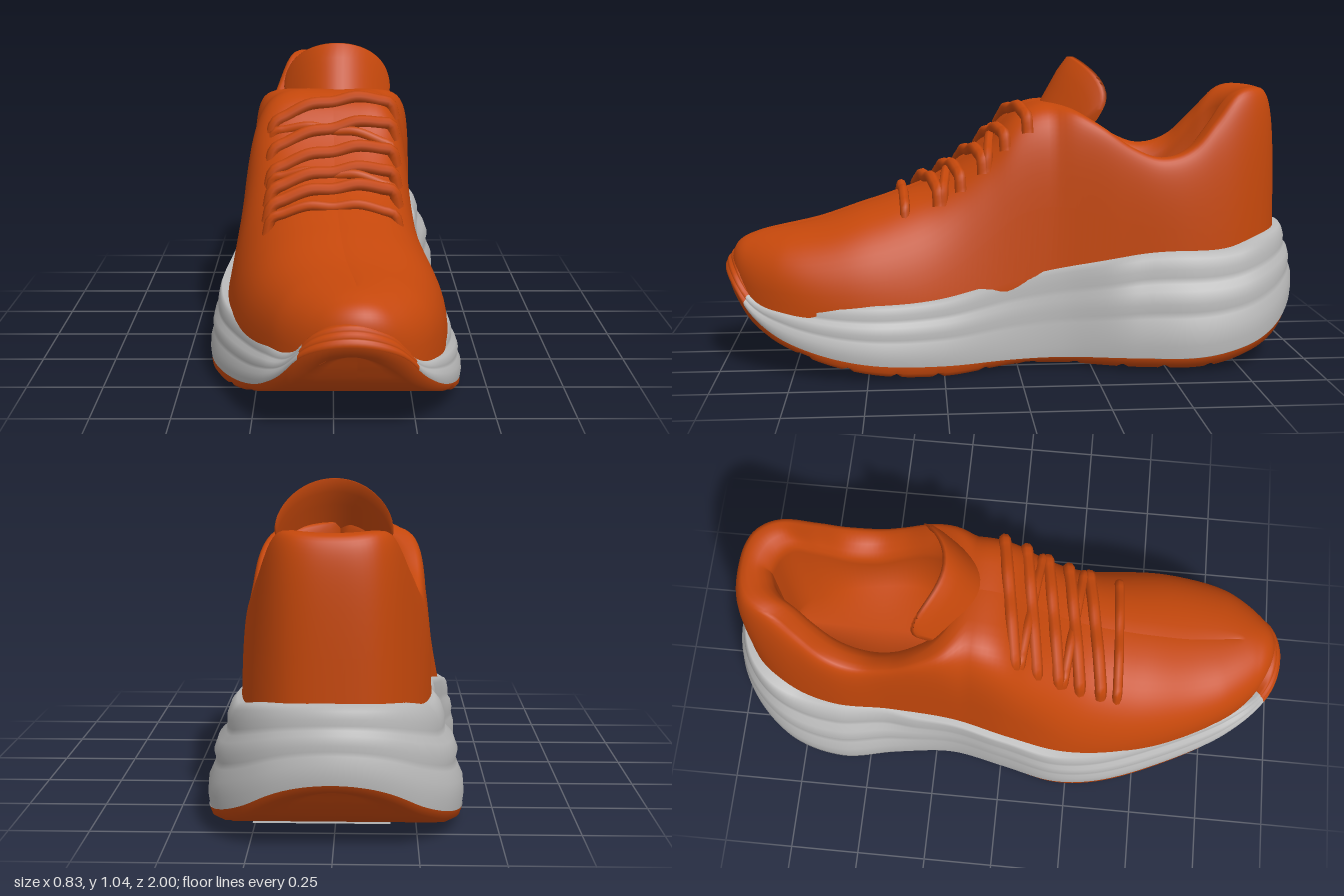
import * as THREE from 'three';

const V = (x, y, z) => new THREE.Vector3(x, y, z);
const N = 240; // points around each ring
const lerp = THREE.MathUtils.lerp;

// smooth lookup through [key, value] pairs
const curve = (...pts) => (k) => {
  if (k <= pts[0][0]) return pts[0][1];
  const slope = (p, q) => (q[1] - p[1]) / (q[0] - p[0]);
  for (let i = 1; i < pts.length; i++) {
    const [a, va] = pts[i - 1], [b, vb] = pts[i];
    if (k > b) continue;
    const m = slope(pts[i - 1], pts[i]), h = b - a, t = (k - a) / h;
    const m0 = i > 1 ? (m + slope(pts[i - 2], pts[i - 1])) / 2 : m;
    const m1 = i + 1 < pts.length ? (m + slope(pts[i], pts[i + 1])) / 2 : m;
    return va * (1 + 2 * t) * (1 - t) ** 2 + h * m0 * t * (1 - t) ** 2
      + vb * t * t * (3 - 2 * t) + h * m1 * t * t * (t - 1);
  }
  return pts[pts.length - 1][1];
};

// closed plan outline, running heel, +x side, toe, -x side
const outline = (pts) => new THREE.CatmullRomCurve3(pts.map(([x, z]) => V(x, 0, z)), true)
  .getSpacedPoints(N).slice(0, N);

// skin over closed rings; paint(i, j) picks a material index per face
function loft(rings, materials, name, paint = () => 0) {
  const n = rings[0].length, lists = materials.map(() => []);
  for (let i = 0; i < rings.length - 1; i++) for (let j = 0; j < n; j++) {
    const a = i * n + j, b = i * n + (j + 1) % n, c = a + n, d = b + n;
    lists[paint(i, j)].push(a, c, b, b, c, d);
  }
  const g = new THREE.BufferGeometry().setFromPoints(rings.flat());
  g.setIndex(lists.flat());
  let start = 0;
  lists.forEach((l, m) => { g.addGroup(start, l.length, m); start += l.length; });
  g.computeVertexNormals();
  const mesh = new THREE.Mesh(g, materials);
  mesh.name = name;
  return mesh;
}

// side-view height profiles along z
const soleBottom = curve([-1, .2], [-.95, .14], [-.9, .095], [-.71, .03], [-.39, .013], [-.02, .018],
  [.25, .003], [.52, .03], [.73, .085], [.9, .165], [.96, .23], [1, .29]);
const soleTop = curve([-1, .455], [-.92, .44], [-.77, .405], [-.44, .395], [-.23, .36], [0, .315],
  [.23, .26], [.47, .245], [.78, .255], [.92, .28], [.97, .35], [1, .39]);
const outsoleTop = curve([-1, .235], [-.9, .14], [-.7, .07], [-.4, .05], [.47, .055], [.73, .11],
  [.83, .155], [.9, .21], [.95, .275], [1, .33]);
const ridge = curve([-.9, .92], [-.85, .935], [-.76, .92], [-.68, .83], [-.6, .745], [-.49, .71],
  [-.39, .745], [-.28, .82], [-.18, .875], [-.08, .885], [0, .85], [.09, .755], [.25, .635],
  [.44, .56], [.52, .535], [.68, .485], [.84, .458], [.92, .446]);
const centre = curve([-1, 0], [0, 0], [.5, .02], [.97, .065]);

function buildSole(rubber, foam) {
  const P = outline([[0, -1], [.2, -.95], [.35, -.8], [.4, -.61], [.37, -.4], [.3, -.15], [.305, .02],
    [.375, .25], [.413, .48], [.38, .68], [.3, .85], [.2, .955], [.06, .995], [-.08, .965], [-.2, .84],
    [-.33, .58], [-.405, .36], [-.418, .2], [-.375, 0], [-.34, -.19], [-.365, -.4], [-.4, -.6],
    [-.35, -.8], [-.2, -.95]]);
  const normals = P.map((p, j) => {
    const t = P[(j + 1) % N].clone().sub(P[(j + N - 1) % N]).normalize();
    return V(t.z, 0, -t.x);
  });
  const ring = (inset, y, squeeze = 1) => P.map((p, j) => {
    const q = p.clone().addScaledVector(normals[j], -inset(p.z));
    q.x = lerp(centre(p.z), q.x, squeeze);
    q.y = y(p.z);
    return q;
  });
  // foam leans in most beside the heel, least at the waist
  const flare = curve([-1, .5], [-.9, .65], [-.75, 1], [-.42, .85], [-.3, .4], [-.12, .22], [.08, .3],
    [.3, .5], [.85, .5], [.95, .35]);
  const under = curve([-.9, .045], [-.4, .03], [.3, .015], [.8, .02], [.95, .04]);
  // shallow tread notches across the underside
  const tread = (z) => soleBottom(z) + (Math.abs(z) < .85 && ((z + 2) % .15) < .025 ? .01 : 0);
  const rings = [ring(under, soleBottom, -.03), ...[.3, .7, 1].map((s) => ring(under, tread, s))];
  rings.push(ring((z) => under(z) * .3, (z) => lerp(soleBottom(z), outsoleTop(z), .4)));
  rings.push(ring(() => .003, outsoleTop));
  // sculpted foam side: [height, inset]
  [[.0, .005], [.12, 0], [.27, .004], [.38, .02], [.44, .026], [.52, .02], [.64, .034], [.7, .056],
    [.76, .06], [.84, .06], [.94, .072], [1, .09]].forEach(([t, d]) =>
    rings.push(ring((z) => d * flare(z), (z) => lerp(outsoleTop(z), soleTop(z), t))));
  rings.push(ring(() => .14, soleTop)); // ledge running under the upper
  // the rubber wraps up over the toe as a bumper
  const bumper = (p) => p.z > .88 && p.x > -.1 && p.x < .255;
  return loft(rings, [rubber, foam], 'sole', (i, j) => (i < 5 || bumper(P[j]) ? 0 : 1));
}

function buildUpper(fabric) {
  const O = outline([[0, -.925], [.14, -.9], [.24, -.79], [.292, -.6], [.287, -.35], [.276, -.1],
    [.31, .15], [.355, .38], [.362, .56], [.325, .75], [.25, .88], [.16, .95], [.065, .968], [-.05, .935],
    [-.16, .83], [-.28, .6], [-.34, .4], [-.358, .2], [-.335, .02], [-.298, -.18], [-.292, -.4],
    [-.294, -.6], [-.235, -.79], [-.14, -.9]]);
  const innerZ = curve([-.925, -.79], [-.6, -.56], [-.3, -.3], [-.1, -.1], [.6, .59], [.97, .82]);
  const opening = curve([-.79, 0], [-.77, .05], [-.68, .11], [-.5, .16], [-.3, .165], [-.2, .11], [-.13, 0]);
  const lip = curve([-.92, .5], [-.8, .62], [-.6, .5], [-.3, .5], [-.2, .75], [-.13, 1]);
  const boxy = curve([-.92, 4], [-.75, 3], [-.5, 3.6], [0, 5], [.3, 2.8], [.6, 2.5], [.97, 2.8]);
  const lean = curve([-.92, .1], [-.75, .3], [-.5, .1], [-.1, .1], [.2, .22], [.5, .1], [.8, 0]);
  const I = O.map((p) => {
    const z = innerZ(p.z), c = centre(p.z);
    return V(c + Math.sign(p.x - c) * opening(z), 0, z);
  });
  const at = (j, g, y) => { const q = O[j].clone().lerp(I[j], g); q.y = y; return q; };
  const top = (j, g) => ridge(Math.min(.9, lerp(O[j].z, I[j].z, g)));
  const rings = [O.map((p, j) => at(j, 0, soleTop(p.z) - .05))];
  // outer wall leaning and arching up to the rim or over the toes
  for (let s = 0; s <= 16; s++) {
    const a = s / 16 * Math.PI / 2;
    rings.push(O.map((p, j) => {
      const e = 2 / boxy(p.z), h = Math.sin(a) ** e;
      const g = lip(p.z) * (1 - Math.max(0, Math.cos(a)) ** e * (1 - lean(p.z) * h));
      return at(j, g, lerp(soleTop(p.z) - .01, top(j, g), h));
    }));
  }
  // padded lip rolling into the foot opening, then lining and footbed
  for (let s = 1; s <= 4; s++) {
    const a = s / 4 * Math.PI / 2;
    rings.push(O.map((p, j) =>
      at(j, lerp(lip(p.z), 1, Math.sin(a)), top(j, lip(p.z)) - .08 * (1 - Math.cos(a)))));
  }
  const floor = (j) => Math.min(.42, top(j, 1) - .1);
  rings.push(O.map((p, j) => at(j, 1, floor(j))));
  rings.push(I.map((p, j) => V(centre(O[j].z), floor(j), p.z)));
  return loft(rings, [fabric], 'upper');
}

function buildTongue(fabric) {
  const rings = [], M = 28;
  for (let i = 0; i <= 13; i++) {
    const b = Math.min(i / 12, 1), front = [], back = [];
    const thick = i === 13 ? 0 : .02 * (b > .95 ? .6 : 1);
    for (let k = 0; k <= M; k++) {
      const a = Math.sin((k / M - .5) * Math.PI);
      const y = lerp(.5, .87 + .168 * Math.sqrt(1 - a * a), b);
      const x = .015 + a * lerp(.13, .195, b);
      const z = -.07 - .135 * Math.max(0, (y - .8) / .24) - .17 * a * a * lerp(.5, 1, b);
      front.unshift(V(x, y, z + thick));
      back.push(V(x, y, z - thick));
    }
    rings.push([...front, ...back]);
  }
  return loft(rings, [fabric], 'tongue');
}

function buildLaces(fabric) {
  const group = new THREE.Group();
  group.name = 'laces';
  // each strand dives into an eyelet at both ends
  const strand = (z0, slant, lift, r) => {
    const pts = [-1.08, -1, -.8, -.4, 0, .4, .8, 1, 1.08].map((a, i) => {
      const z = z0 - slant * a;
      const dive = Math.abs(a) > 1 ? .035 : 0;
      return V(a * .2, ridge(z) + lift + (i % 2 ? .004 : -.004) - .04 * a ** 4 - dive, z);
    });
    const m = new THREE.Mesh(new THREE.TubeGeometry(new THREE.CatmullRomCurve3(pts), 32, r, 8), fabric);
    m.name = 'laceStrand';
    group.add(m);
  };
  strand(.385, .01, .004, .017);
  for (let i = 0; i < 5; i++) {
    strand(.3 - i * .075, .035, .012, .021);
    if (i % 2) strand(.3 - i * .075, -.02, .004, .017);
  }
  return group;
}

export function createModel() {
  const orange = new THREE.MeshStandardMaterial({ color: 0xc4470b });
  orange.name = 'burntOrange';
  const grey = new THREE.MeshStandardMaterial({ color: 0xb9b9b9 });
  grey.name = 'lightGrey';
  const shoe = new THREE.Group();
  shoe.name = 'runningShoe';
  shoe.add(buildSole(orange, grey), buildUpper(orange), buildTongue(orange), buildLaces(orange));

  // foam showing through the cross slot under the heel
  const slot = new THREE.Mesh(new THREE.BoxGeometry(.42, .009, .045), grey);
  slot.name = 'heelSlot';
  slot.position.set(.04, .032, -.72);
  slot.rotation.x = .18;
  shoe.add(slot);
  return shoe;
}
